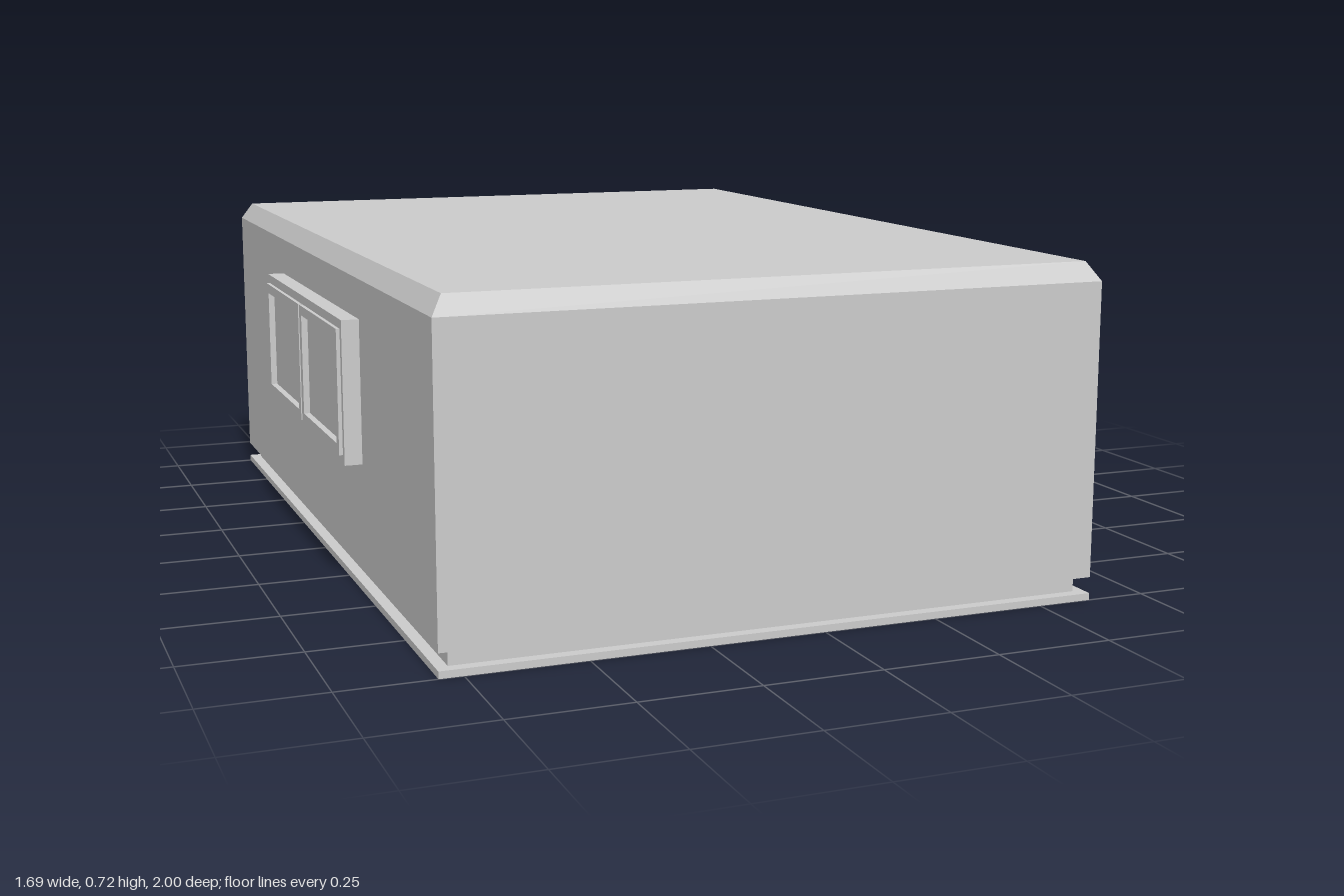
import * as THREE from 'three';

const X0 = -0.8, X1 = 0.62, WALL = 0.04, INSET = 0.025;
const Y_BASE = 0.015, Y_WALL = 0.05, Y_EAVE = 0.68, Y_TOP = 0.72;
const CX = (X0 + X1) / 2, W = X1 - X0;

export function createModel() {
  const root = new THREE.Group();
  const mat = new THREE.MeshStandardMaterial({ color: 0xcccccc, side: THREE.DoubleSide });

  const add = (name, geo, x = 0, y = 0, z = 0, ry = 0, parent = root) => {
    const m = new THREE.Mesh(geo, mat);
    m.name = name;
    m.position.set(x, y, z);
    m.rotation.y = ry;
    parent.add(m);
    return m;
  };
  // Box given by its minimum and maximum corners
  const span = (name, a, b, parent) => add(name,
    new THREE.BoxGeometry(b[0] - a[0], b[1] - a[1], b[2] - a[2]),
    (a[0] + b[0]) / 2, (a[1] + b[1]) / 2, (a[2] + b[2]) / 2, 0, parent);
  const rect = (Type, x0, y0, x1, y1) => new Type([
    [x0, y0], [x1, y0], [x1, y1], [x0, y1]].map(p => new THREE.Vector2(...p)));
  // Rectangular panel with holes, extruded along +x (shape is drawn in z and y)
  const panel = (name, shape, depth, x, parent) => add(name,
    new THREE.ExtrudeGeometry(shape, { depth, bevelEnabled: false }), x, 0, 0, Math.PI / 2, parent);

  // Floor slab
  span('floorSlab', [X0, 0, -1], [X1, Y_BASE, 1]);

  // Recessed plinth under the walls, interrupted at the doorway
  const zi = 1 - INSET, xa = X0 + INSET, xb = X1 - INSET, door = 0.26;
  for (const s of [-1, 1]) {
    span('plinth', [xa, Y_BASE, s * zi - 0.01], [xb, Y_WALL, s * zi + 0.01]).position.z = s * (zi - 0.01);
    const z0 = s < 0 ? -zi : door, z1 = s < 0 ? -door : zi;
    span('plinth', [xb - 0.02, Y_BASE, z0], [xb, Y_WALL, z1]);
  }
  span('plinth', [xa, Y_BASE, -zi], [xa + 0.02, Y_WALL, zi]);

  // Front and back walls
  for (const s of [-1, 1])
    add(s > 0 ? 'frontWall' : 'backWall', new THREE.BoxGeometry(W, Y_EAVE - Y_WALL, WALL),
      CX, (Y_EAVE + Y_WALL) / 2, s * (1 - WALL / 2));

  // Door wall, open down to the slab
  const doorWall = new THREE.Shape([
    [-1, Y_WALL], [-door, Y_WALL], [-door, 0.61], [door, 0.61], [door, Y_WALL],
    [1, Y_WALL], [1, Y_EAVE], [-1, Y_EAVE]].map(p => new THREE.Vector2(...p)));
  panel('doorWall', doorWall, WALL, X1 - WALL);

  // Window wall
  const windowWall = rect(THREE.Shape, -1, Y_WALL, 1, Y_EAVE);
  windowWall.holes.push(rect(THREE.Path, -0.39, 0.3, 0.39, 0.58));
  panel('windowWall', windowWall, WALL, X0);

  // Roof with chamfered edge
  const roof = new THREE.BoxGeometry(W, Y_TOP - Y_EAVE, 2);
  const p = roof.attributes.position;
  for (let i = 0; i < p.count; i++) {
    if (p.getY(i) < 0) continue;
    p.setX(i, p.getX(i) - Math.sign(p.getX(i)) * INSET);
    p.setZ(i, p.getZ(i) - Math.sign(p.getZ(i)) * INSET);
  }
  roof.computeVertexNormals();
  add('roof', roof, CX, (Y_TOP + Y_EAVE) / 2, 0);

  // Sliding window: outer frame, two sashes and their panes
  const win = new THREE.Group();
  win.name = 'window';
  root.add(win);
  const frame = rect(THREE.Shape, -0.41, 0.285, 0.415, 0.595);
  frame.holes.push(rect(THREE.Path, -0.38, 0.315, 0.38, 0.565));
  panel('windowFrame', frame, 0.075, -0.838, win);
  for (const s of [-1, 1]) {
    const a = s < 0 ? -0.395 : 0.006, b = s < 0 ? -0.006 : 0.395;
    const sash = rect(THREE.Shape, a, 0.305, b, 0.575);
    sash.holes.push(rect(THREE.Path, a + 0.022, 0.327, b - 0.022, 0.553));
    panel('windowSash', sash, 0.03, -0.846, win);
    span('windowPane', [-0.832, 0.32, a + 0.01], [-0.824, 0.56, b - 0.01], win);
  }
  span('windowMullion', [-0.838, 0.3, -0.012], [-0.775, 0.58, 0.012], win);

  // Door frame lining
  for (const s of [-1, 1])
    add('doorJamb', new THREE.BoxGeometry(WALL, 0.595, 0.012), X1 - WALL / 2 - 0.002, 0.3125, s * 0.256);
  span('doorHead', [X1 - WALL - 0.002, 0.598, -door], [X1 - 0.002, 0.61, door]);

  // Two door leaves, swung half open
  const leaf = (name, length, x, z, angle) =>
    add(name, new THREE.BoxGeometry(length, 0.595, 0.024), x, 0.3125, z, angle);
  leaf('leftDoorLeaf', 0.358, 0.705, -0.125, -Math.PI / 4);
  leaf('rightDoorLeaf', 0.28, 0.683, 0.158, Math.PI / 4);

  return root;
}
